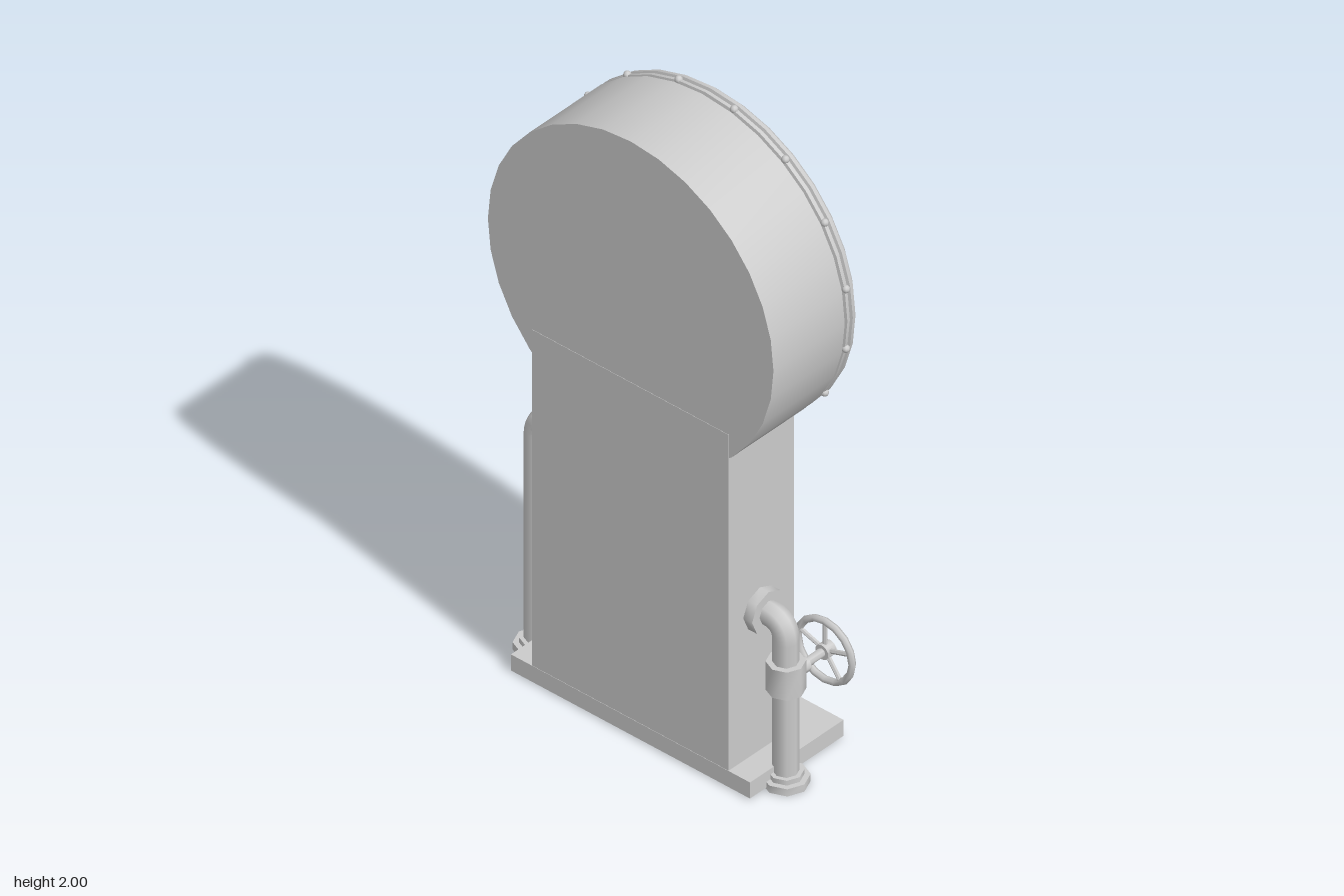
import * as THREE from 'three';
import { toCreasedNormals } from 'three/addons/utils/BufferGeometryUtils.js';

const CX = -0.024;      // centre line of the cabinet
const DIAL_Y = 1.484;   // height of the dial centre
const PIPE_Z = 0.063;

export function createModel() {
  const root = new THREE.Group();
  const mat = new THREE.MeshStandardMaterial({ color: 0xcccccc });

  const add = (parent, name, geo, x = 0, y = 0, z = 0) => {
    const m = new THREE.Mesh(geo, mat);
    m.name = name;
    m.position.set(x, y, z);
    parent.add(m);
    return m;
  };
  const box = (w, h, d) => new THREE.BoxGeometry(w, h, d);
  const cyl = (r, h, n = 8) => toCreasedNormals(new THREE.CylinderGeometry(r, r, h, n), 0.9);
  const lathe = (pts, n) =>
    toCreasedNormals(new THREE.LatheGeometry(pts.map(p => new THREE.Vector2(...p)), n), 0.45);

  // Everything is laid out around the cabinet's centre line
  const model = new THREE.Group();
  model.name = 'pressureGaugeStand';
  model.position.x = CX;
  root.add(model);

  // Base plate and cabinet
  add(model, 'basePlate', box(0.864, 0.054, 0.378), 0, 0.032, 0);
  add(model, 'cabinet', box(0.71, 1.13, 0.251), 0, 0.625, 0.0635);

  // Frame on the dial side of the cabinet, with rivets
  for (const s of [-1, 1]) {
    add(model, 'frameStrip', box(0.07, 1.1, 0.014), s * 0.32, 0.62, -0.067);
    for (const y of [0.15, 0.465, 0.78]) {
      add(model, 'frameRivet', new THREE.SphereGeometry(0.011, 8, 6), s * 0.32, y, -0.075);
    }
  }
  add(model, 'bottomRail', box(0.57, 0.035, 0.014), 0, 0.1, -0.067);

  // Blank name plate
  add(model, 'namePlate', box(0.3, 0.1, 0.018), 0, 0.87, -0.069);

  // Sight glass
  const glass = new THREE.Group();
  glass.name = 'sightGlass';
  glass.position.set(0, 0, -0.143);
  model.add(glass);
  add(glass, 'glassTube', cyl(0.032, 0.46, 12), 0, 0.53, 0);
  for (const y of [0.299, 0.763]) {
    add(glass, 'glassCap', cyl(0.046, 0.036, 10), 0, y, 0);
    add(glass, 'glassBracket', box(0.04, 0.025, 0.07), 0, y, 0.05);
  }

  // Dial: local +z points away from the cabinet, local +x is the reader's right
  const dial = new THREE.Group();
  dial.name = 'dial';
  dial.position.y = DIAL_Y;
  dial.rotation.y = Math.PI;
  model.add(dial);
  const drum = lathe([[0, -0.188], [0.516, -0.188], [0.516, 0.1], [0, 0.1]], 32);
  add(dial, 'drum', drum.rotateX(Math.PI / 2));
  const bezel = lathe([
    [0.44, 0.095], [0.505, 0.095], [0.505, 0.11], [0.515, 0.112], [0.515, 0.122],
    [0.506, 0.125], [0.506, 0.131], [0.515, 0.134], [0.512, 0.148], [0.5, 0.16],
    [0.482, 0.166], [0.462, 0.164], [0.45, 0.155], [0.447, 0.125],
  ], 32);
  add(dial, 'bezel', bezel.rotateX(Math.PI / 2));
  add(dial, 'dialFace', new THREE.CylinderGeometry(0.452, 0.452, 0.036, 32).rotateX(Math.PI / 2), 0, 0, 0.114);

  // Rivets around the drum rim
  for (let i = 0; i < 16; i++) {
    const a = (i + 0.5) * Math.PI / 8;
    add(dial, 'rimRivet', new THREE.SphereGeometry(0.012, 8, 6),
      0.514 * Math.sin(a), 0.514 * Math.cos(a), 0.118);
  }

  // Scale marks over 270 degrees, every fifth one longer
  for (let i = 0; i <= 30; i++) {
    const major = i % 5 === 0;
    const len = major ? 0.08 : 0.04;
    const a = THREE.MathUtils.degToRad(-135 + i * 9);
    const r = 0.415 - len / 2;
    const mark = add(dial, 'scaleMark', box(major ? 0.009 : 0.006, len, 0.006),
      r * Math.sin(a), r * Math.cos(a), 0.134);
    mark.rotation.z = -a;
  }

  // Needle and hub
  const needleShape = new THREE.Shape([
    [0, -0.075], [0.014, -0.02], [0.012, 0.02], [0.002, 0.4],
    [-0.002, 0.4], [-0.012, 0.02], [-0.014, -0.02],
  ].map(p => new THREE.Vector2(...p)));
  const needle = add(dial, 'needle',
    new THREE.ExtrudeGeometry(needleShape, { depth: 0.006, bevelEnabled: false }), 0, 0, 0.142);
  needle.rotation.z = -THREE.MathUtils.degToRad(9);
  const hub = add(dial, 'needleHub', new THREE.SphereGeometry(0.034, 14, 10), 0, 0, 0.142);
  hub.scale.z = 0.65;

  // Side pipes: floor flange, bend and wall flange
  const pipe = (side, y) => {
    const g = new THREE.Group();
    g.name = side > 0 ? 'leftPipe' : 'rightPipe';
    g.position.z = PIPE_Z;
    model.add(g);
    const v = (x, h) => new THREE.Vector3(side * x, h, 0);
    const path = new THREE.CurvePath();
    path.add(new THREE.LineCurve3(v(0.449, 0.01), v(0.449, y - 0.06)));
    path.add(new THREE.QuadraticBezierCurve3(v(0.449, y - 0.06), v(0.449, y), v(0.389, y)));
    path.add(new THREE.LineCurve3(v(0.389, y), v(0.35, y)));
    add(g, 'pipeTube', new THREE.TubeGeometry(path, 48, 0.037, 8, false));
    add(g, 'floorFlange', cyl(0.067, 0.024), side * 0.449, 0.012, 0);
    add(g, 'floorCollar', cyl(0.05, 0.02), side * 0.449, 0.03, 0);
    add(g, 'wallFlange', cyl(0.067, 0.034).rotateZ(Math.PI / 2), side * 0.37, y, 0);
    return g;
  };
  pipe(-1, 0.79);
  const valvePipe = pipe(1, 0.54);

  // Valve with stem and handwheel
  add(valvePipe, 'valveBody', cyl(0.055, 0.095), 0.449, 0.36, 0);
  const valve = new THREE.Group();
  valve.name = 'handwheel';
  valve.position.set(0.454, 0.36, -0.09);
  model.add(valve);
  const along = g => g.rotateX(Math.PI / 2);
  add(valve, 'stem', along(cyl(0.013, 0.16)), 0, 0, 0.07);
  add(valve, 'stemCollar', along(cyl(0.024, 0.04)), 0, 0, 0.1);
  add(valve, 'wheelHub', along(cyl(0.024, 0.034, 10)), 0, 0, -0.003);
  add(valve, 'wheelRim', new THREE.TorusGeometry(0.098, 0.011, 6, 16));
  for (let i = 0; i < 5; i++) {
    const a = i * Math.PI * 2 / 5;
    const spoke = add(valve, 'wheelSpoke', cyl(0.007, 0.09, 6),
      -0.052 * Math.sin(a), 0.052 * Math.cos(a), 0);
    spoke.rotation.z = a;
  }

  return root;
}
